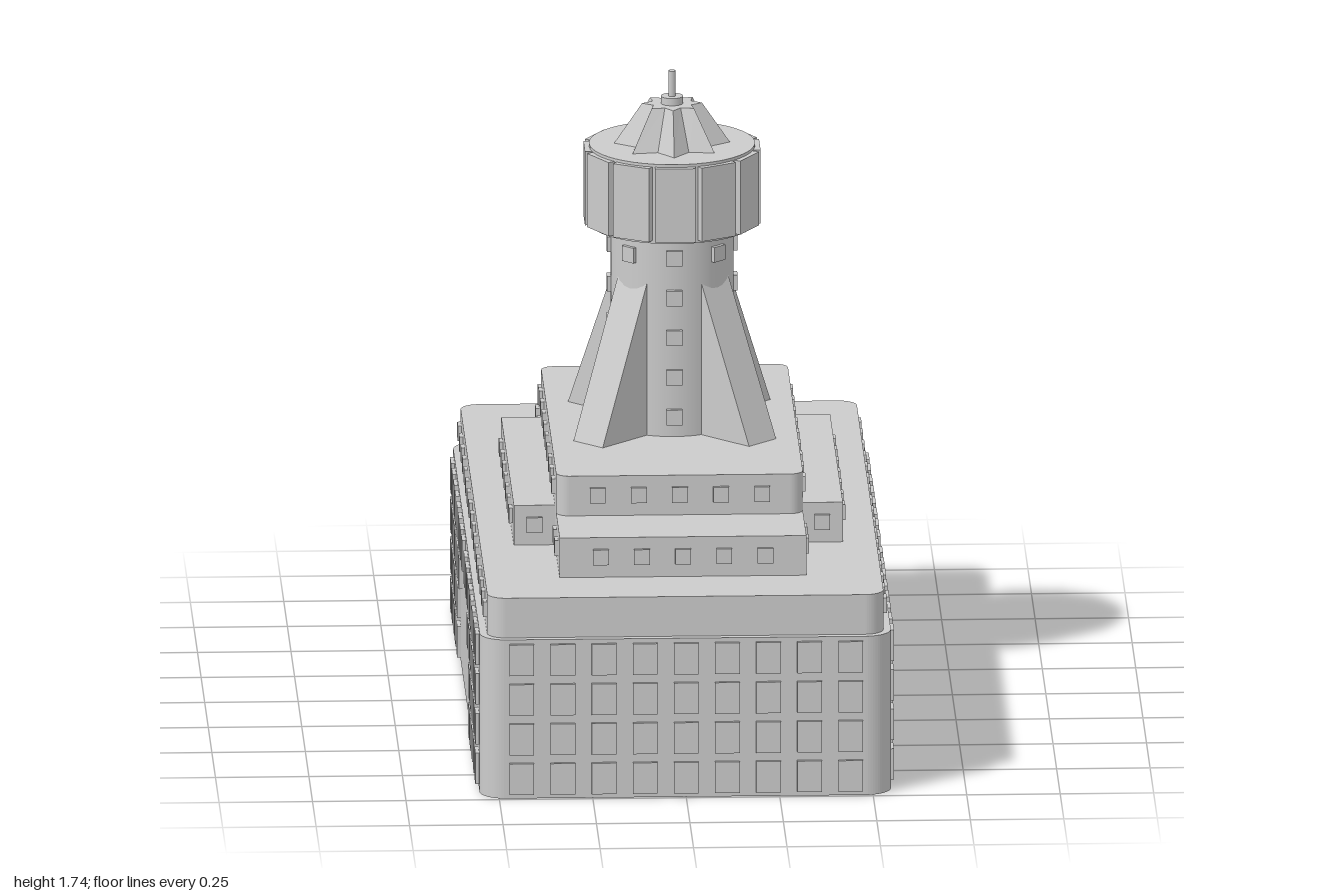
import * as THREE from 'three';

const material = new THREE.MeshStandardMaterial({ color: 0xcccccc });
const PITCH = 0.11;

function add(parent, name, geometry, x = 0, y = 0, z = 0) {
  const mesh = new THREE.Mesh(geometry, material);
  mesh.name = name;
  mesh.position.set(x, y, z);
  parent.add(mesh);
  return mesh;
}

// Block with rounded vertical corners
function roundedTier(parent, name, hx, hz, y0, y1, r) {
  const s = new THREE.Shape();
  s.moveTo(-hx + r, -hz);
  s.lineTo(hx - r, -hz);
  s.absarc(hx - r, -hz + r, r, -Math.PI / 2, 0);
  s.lineTo(hx, hz - r);
  s.absarc(hx - r, hz - r, r, 0, Math.PI / 2);
  s.lineTo(-hx + r, hz);
  s.absarc(-hx + r, hz - r, r, Math.PI / 2, Math.PI);
  s.lineTo(-hx, -hz + r);
  s.absarc(-hx + r, -hz + r, r, Math.PI, Math.PI * 1.5);
  const g = new THREE.ExtrudeGeometry(s, { depth: y1 - y0, bevelEnabled: false, curveSegments: 8 });
  add(parent, name, g.rotateX(-Math.PI / 2), 0, y0, 0);
}

// Evenly spaced positions centred on zero
const row = (n) => Array.from({ length: n }, (_, i) => (i - (n - 1) / 2) * PITCH);

const smallPane = new THREE.BoxGeometry(0.042, 0.042, 0.02);
const largePane = new THREE.BoxGeometry(0.066, 0.086, 0.02);

// Window set on a wall at the given distance, mirrored to the opposite wall
function endWindow(parent, pane, x, y, wall) {
  for (const s of [1, -1]) add(parent, 'window', pane, x, y, s * wall);
}
function sideWindow(parent, pane, z, y, wall) {
  for (const s of [1, -1]) add(parent, 'window', pane, s * wall, y, z).rotation.y = Math.PI / 2;
}

// Fluted roof: a tapered star with eight ridges
function starRoof() {
  const h = 0.11;
  const g = new THREE.CylinderGeometry(1, 1, h, 16, 1);
  const p = g.attributes.position;
  for (let i = 0; i < p.count; i++) {
    const x = p.getX(i), z = p.getZ(i);
    if (Math.hypot(x, z) < 0.5) continue;
    const step = Math.round(Math.atan2(x, z) / (Math.PI / 8));
    const ridge = Math.abs(step) % 2 === 0;
    const top = p.getY(i) > 0;
    const r = top ? (ridge ? 0.08 : 0.055) : (ridge ? 0.155 : 0.108);
    p.setX(i, x * r);
    p.setZ(i, z * r);
  }
  const flat = g.toNonIndexed();
  flat.computeVertexNormals();
  return flat;
}

export function createModel() {
  const model = new THREE.Group();
  model.name = 'towerBuilding';

  // Stepped body
  const body = new THREE.Group();
  body.name = 'body';
  model.add(body);
  roundedTier(body, 'mainBlock', 0.55, 0.99, 0, 0.44, 0.07);
  roundedTier(body, 'upperStorey', 0.53, 0.97, 0.44, 0.55, 0.05);
  add(body, 'longTerrace', new THREE.BoxGeometry(0.66, 0.11, 1.54), 0, 0.605, 0);
  add(body, 'crossTerrace', new THREE.BoxGeometry(0.88, 0.11, 0.88), 0, 0.605, 0);
  roundedTier(body, 'towerPlinth', 0.33, 0.55, 0.66, 0.77, 0.035);

  // Large windows of the main block, with an open bay in the long walls
  const windows = new THREE.Group();
  windows.name = 'windows';
  model.add(windows);
  for (let level = 0; level < 4; level++) {
    const y = 0.055 + level * PITCH;
    for (const x of row(9)) endWindow(windows, largePane, x, y, 0.99);
    for (let i = 0; i < 8; i++) {
      const lowest = i < 2 ? 3 : i === 2 ? 2 : 0;
      if (level < lowest) continue;
      for (const s of [1, -1]) sideWindow(windows, largePane, s * (0.082 + i * PITCH), y, 0.55);
    }
  }

  // Small windows of the upper tiers
  for (const z of row(17)) sideWindow(windows, smallPane, z, 0.5, 0.53);
  for (const x of row(5)) {
    endWindow(windows, smallPane, x, 0.607, 0.77);
    endWindow(windows, smallPane, x, 0.717, 0.55);
  }
  for (const z of [-0.66, -0.55, 0.55, 0.66]) sideWindow(windows, smallPane, z, 0.607, 0.33);
  for (const z of row(7)) sideWindow(windows, smallPane, z, 0.607, 0.44);
  for (const x of [-0.385, 0.385]) endWindow(windows, smallPane, x, 0.607, 0.44);
  for (const z of row(9)) sideWindow(windows, smallPane, z, 0.717, 0.33);

  // Tower shaft
  const tower = new THREE.Group();
  tower.name = 'tower';
  model.add(tower);
  add(tower, 'shaft', new THREE.CylinderGeometry(0.165, 0.165, 0.56, 48), 0, 1.05, 0);
  for (let i = 0; i < 8; i++) {
    const a = i * Math.PI / 4;
    for (let k = i % 2 ? 4 : 0; k < 5; k++) {
      const y = 0.825 + k * PITCH;
      add(tower, 'shaftWindow', smallPane, 0.165 * Math.sin(a), y, 0.165 * Math.cos(a)).rotation.y = a;
    }
  }

  // Four sloping buttresses on the diagonals
  const profile = new THREE.Shape([[0, 0.77], [0.33, 0.77], [0.152, 1.2], [0, 1.2]]
    .map(([x, y]) => new THREE.Vector2(x, y)));
  const fin = new THREE.ExtrudeGeometry(profile, { depth: 0.106, bevelEnabled: false });
  fin.translate(0, 0, -0.053);
  for (let i = 0; i < 4; i++) {
    add(tower, 'buttress', fin).rotation.y = Math.PI / 4 + i * Math.PI / 2;
  }

  // Drum head with twelve panels
  add(tower, 'drum', new THREE.CylinderGeometry(0.222, 0.222, 0.22, 48), 0, 1.43, 0);
  const panel = new THREE.BoxGeometry(0.108, 0.204, 0.03);
  for (let i = 0; i < 12; i++) {
    const a = i * Math.PI / 6;
    add(tower, 'drumPanel', panel, 0.22 * Math.sin(a), 1.43, 0.22 * Math.cos(a)).rotation.y = a;
  }

  // Roof and spire
  add(tower, 'roof', starRoof(), 0, 1.595, 0);
  add(tower, 'spireBase', new THREE.CylinderGeometry(0.03, 0.03, 0.02, 24), 0, 1.66, 0);
  add(tower, 'spire', new THREE.CylinderGeometry(0.01, 0.01, 0.07, 16), 0, 1.705, 0);

  return model;
}
